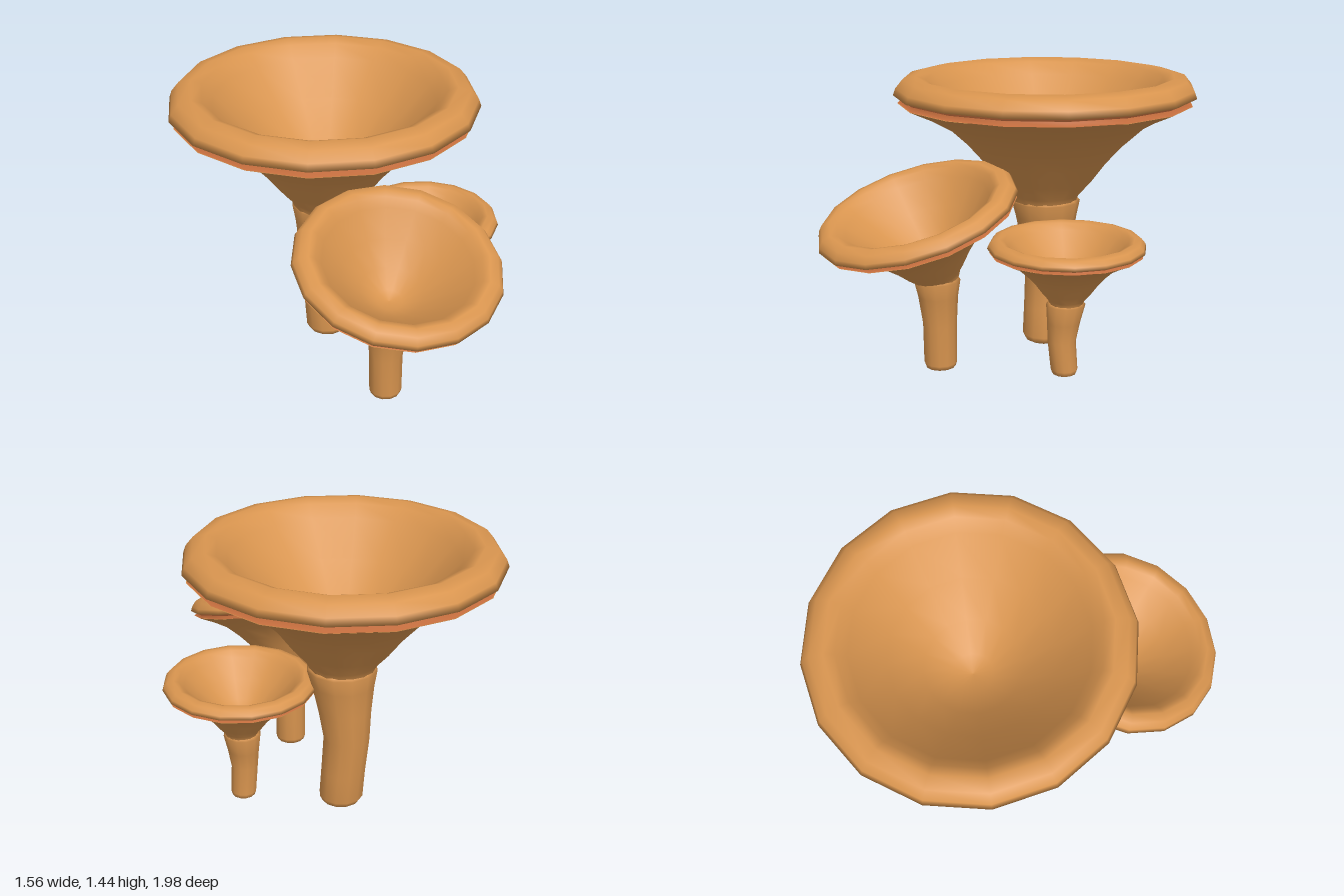
import * as THREE from 'three';
import { mergeVertices } from 'three/addons/utils/BufferGeometryUtils.js';

const flesh = new THREE.MeshStandardMaterial({ color: 0xd9954f, side: THREE.DoubleSide });
flesh.name = 'tan flesh';
const gillColor = new THREE.MeshStandardMaterial({ color: 0xc9703f, side: THREE.DoubleSide });
gillColor.name = 'reddish gill';

const SIDES = 16;
const PHASE = THREE.MathUtils.degToRad(15);

// Cap profiles [radius, height above the stem], for the largest mushroom
const UNDERSIDE = [[0.165, -0.01], [0.18, 0.03], [0.25, 0.11], [0.32, 0.205], [0.4, 0.295],
  [0.51, 0.395], [0.64, 0.468], [0.755, 0.52]];
const GILLS = [[0.752, 0.521], [0.67, 0.53], [0.745, 0.546], [0.67, 0.55], [0.755, 0.558]];
const RIM = [[0.7, 0.55], [0.775, 0.56], [0.762, 0.595], [0.725, 0.64], [0.66, 0.655], [0.61, 0.635],
  [0.56, 0.575], [0.4, 0.41], [0.24, 0.26], [0.1, 0.165], [0, 0.15]];

function lathe(points, sides, phase = 0) {
  return new THREE.LatheGeometry(points.map(([r, y]) => new THREE.Vector2(r, y)), sides, phase);
}

function part(name, geometry, material) {
  const mesh = new THREE.Mesh(geometry, material);
  mesh.name = name;
  return mesh;
}

// Stem: a lathe whose rings are slid sideways to follow bend rows [y, x, z]
function stemGeometry(profile, bend) {
  let geo = lathe(profile, 12);
  const pos = geo.attributes.position;
  for (let i = 0; i < pos.count; i++) {
    const y = pos.getY(i);
    let k = 0;
    while (k < bend.length - 2 && y > bend[k + 1][0]) k++;
    const [a, b] = [bend[k], bend[k + 1]];
    const t = THREE.MathUtils.clamp((y - a[0]) / (b[0] - a[0]), 0, 1);
    pos.setX(i, pos.getX(i) + THREE.MathUtils.lerp(a[1], b[1], t));
    pos.setZ(i, pos.getZ(i) + THREE.MathUtils.lerp(a[2], b[2], t));
  }
  geo.deleteAttribute('normal');
  geo.deleteAttribute('uv');
  geo = mergeVertices(geo);
  geo.computeVertexNormals();
  return geo;
}

function mushroom({ name, profile, bend, scale, capAt, capUp, phase }) {
  const group = new THREE.Group();
  group.name = name;
  group.add(part('stem', stemGeometry(profile, bend), flesh));

  const cap = new THREE.Group();
  cap.name = 'cap';
  cap.add(part('underside', lathe(UNDERSIDE, SIDES, phase), flesh));
  cap.add(part('gills', lathe(GILLS, SIDES, phase), gillColor));
  cap.add(part('rimAndBowl', lathe(RIM, SIDES, phase), flesh));
  cap.scale.setScalar(scale);
  cap.position.set(...capAt);
  cap.quaternion.setFromUnitVectors(new THREE.Vector3(0, 1, 0), new THREE.Vector3(...capUp).normalize());
  group.add(cap);
  return group;
}

export function createModel() {
  const model = new THREE.Group();
  model.name = 'funnelMushrooms';

  model.add(mushroom({
    name: 'largeMushroom',
    profile: [[0, 0], [0.075, 0.003], [0.1, 0.015], [0.115, 0.045], [0.115, 0.2], [0.119, 0.4],
      [0.137, 0.56], [0.16, 0.7], [0.18, 0.785], [0.165, 0.797]],
    bend: [[0, 0.01, -0.228], [0.2, 0.01, -0.245], [0.4, 0.01, -0.265], [0.8, 0.015, -0.23]],
    scale: 1, capAt: [0.01, 0.79, -0.23], capUp: [0, 1, 0], phase: PHASE,
  }));

  model.add(mushroom({
    name: 'tiltedMushroom',
    profile: [[0, 0.015], [0.055, 0.015], [0.075, 0.022], [0.083, 0.045], [0.085, 0.25],
      [0.1, 0.4], [0.117, 0.485], [0.1, 0.5]],
    bend: [[0, -0.236, 0.395], [0.25, -0.236, 0.395], [0.5, -0.24, 0.41]],
    scale: 0.65, capAt: [-0.24, 0.49, 0.395], capUp: [-0.115, 0.95, 0.29], phase: 0.1,
  }));

  model.add(mushroom({
    name: 'smallMushroom',
    profile: [[0, 0.015], [0.045, 0.015], [0.06, 0.022], [0.067, 0.045], [0.07, 0.19],
      [0.082, 0.29], [0.097, 0.385], [0.08, 0.395]],
    bend: [[0, 0.346, 0.155], [0.06, 0.344, 0.155], [0.2, 0.33, 0.157], [0.4, 0.35, 0.15]],
    scale: 0.5, capAt: [0.352, 0.395, 0.152], capUp: [0, 1, 0], phase: 0.2,
  }));

  return model;
}
